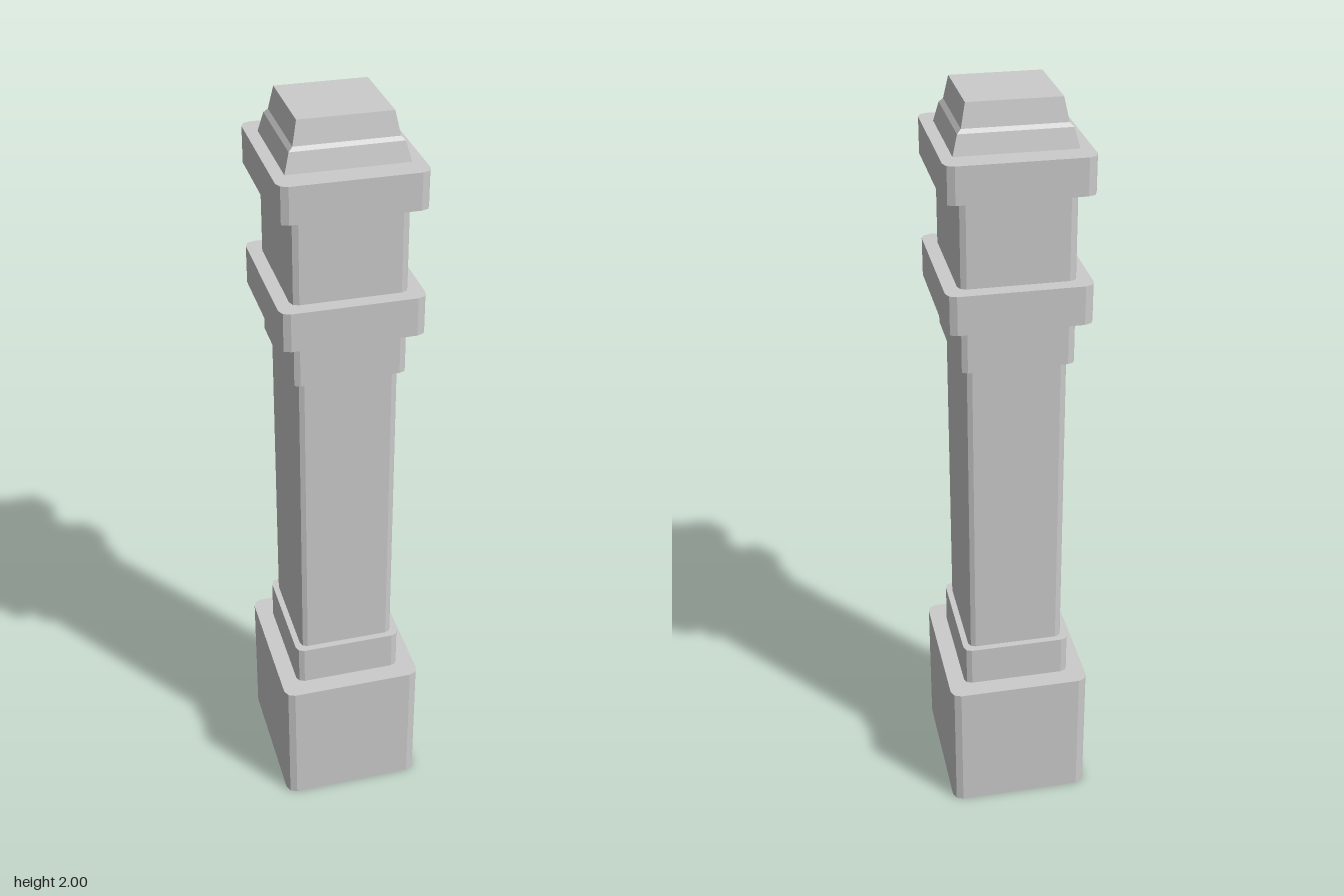
import * as THREE from 'three';

const material = new THREE.MeshStandardMaterial({ color: 0xcccccc, flatShading: true });

// Upright block with vertical edges rounded in two facets
function roundedBlock(name, halfX, halfZ, y0, y1, r) {
  const shape = new THREE.Shape();
  const corners = [[1, 1], [-1, 1], [-1, -1], [1, -1]];
  const points = [];
  corners.forEach(([sx, sz], i) => {
    for (let k = 0; k <= 2; k++) {
      const a = (i + k / 2) * Math.PI / 2;
      points.push(new THREE.Vector2(
        sx * (halfX - r) + r * Math.cos(a),
        sz * (halfZ - r) + r * Math.sin(a)));
    }
  });
  shape.setFromPoints(points);
  const geometry = new THREE.ExtrudeGeometry(shape, { depth: y1 - y0, bevelEnabled: false });
  geometry.rotateX(-Math.PI / 2).translate(0, y0, 0);
  const mesh = new THREE.Mesh(geometry, material);
  mesh.name = name;
  return mesh;
}

// Stepped tapering top: a box whose rows follow [halfX, halfZ, y]
function taperedBlock(name, rows) {
  const n = rows.length - 1;
  const geometry = new THREE.BoxGeometry(2, n, 2, 1, n, 1);
  const p = geometry.attributes.position;
  for (let i = 0; i < p.count; i++) {
    const [hx, hz, y] = rows[Math.round(p.getY(i) + n / 2)];
    p.setXYZ(i, p.getX(i) * hx, y, p.getZ(i) * hz);
  }
  geometry.computeVertexNormals();
  const mesh = new THREE.Mesh(geometry, material);
  mesh.name = name;
  return mesh;
}

export function createModel() {
  const group = new THREE.Group();
  group.name = 'pillar';

  // Stacked blocks from the ground up: name, halfX, halfZ, bottom, top, corner radius
  const blocks = [
    ['base', 0.192, 0.216, 0, 0.377, 0.026],
    ['plinth', 0.146, 0.164, 0.377, 0.488, 0.02],
    ['shaft', 0.13, 0.146, 0.488, 1.342, 0.018],
    ['collar', 0.146, 0.164, 1.342, 1.464, 0.02],
    ['lowerBand', 0.181, 0.203, 1.464, 1.565, 0.025],
    ['neck', 0.146, 0.164, 1.565, 1.79, 0.02],
    ['upperBand', 0.181, 0.203, 1.79, 1.883, 0.025],
  ];
  blocks.forEach((b) => group.add(roundedBlock(...b)));

  // Finial with a small shoulder
  group.add(taperedBlock('finial', [
    [0.15, 0.138, 1.883],
    [0.137, 0.128, 1.932],
    [0.127, 0.122, 1.942],
    [0.115, 0.112, 2.0],
  ]));
  return group;
}
